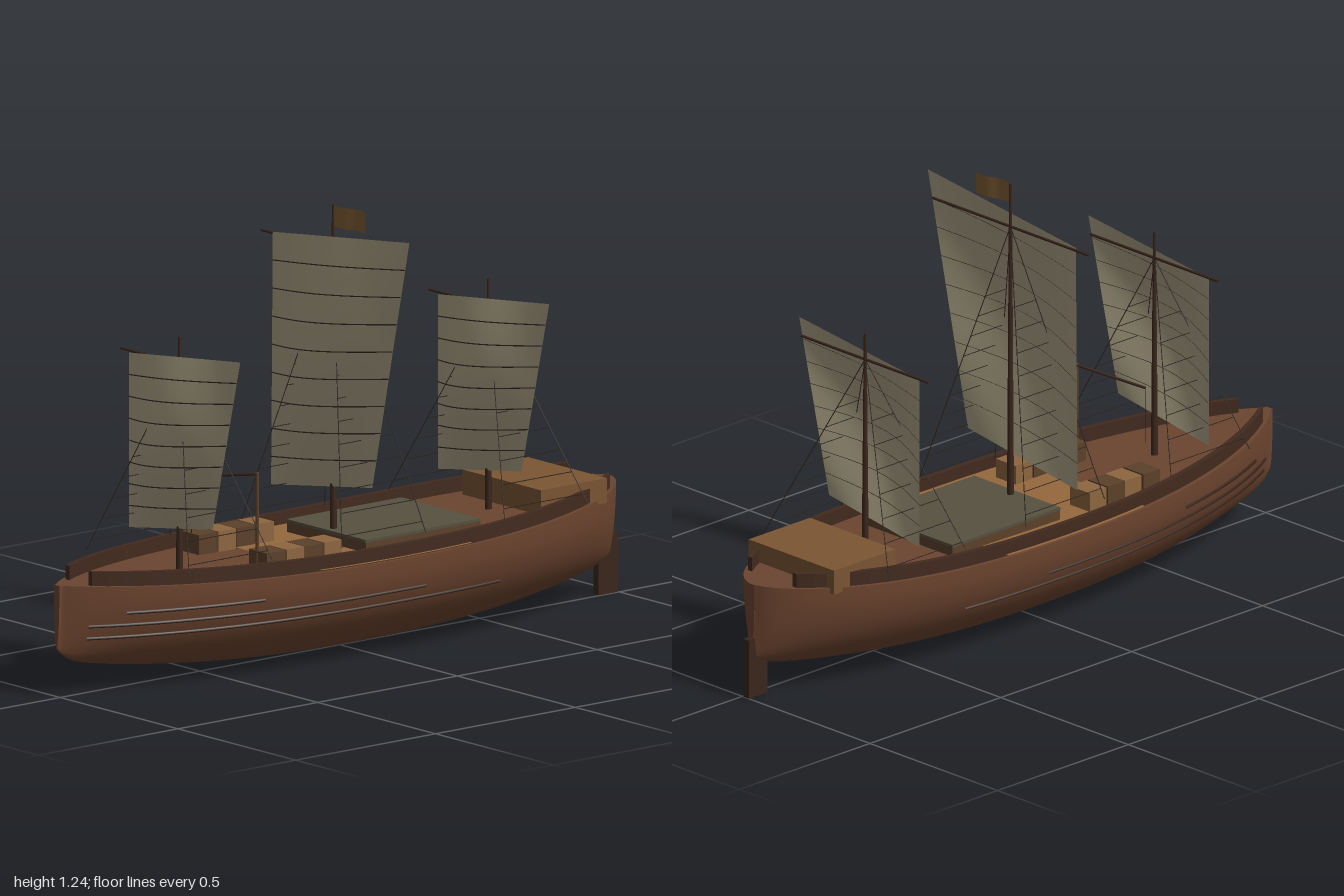
import * as THREE from 'three';

const mat = (color, extra = {}) => Object.assign(new THREE.MeshStandardMaterial({ color }), extra);
const double = { side: THREE.DoubleSide };
const M = {
  hull: mat(0x6f4630), deck: mat(0x6b4530), plank: mat(0x94683c), dark: mat(0x3a261b),
  rail: mat(0x422a1e, { side: THREE.DoubleSide, flatShading: true }),
  cabin: mat(0x7a5533), crate: mat(0x8d6640), crateDark: mat(0x5c412a), hatch: mat(0x56513f),
  sail: mat(0xaaa084, double), flag: mat(0x7d5c34, double), rope: mat(0x2b2420),
};

// Hull lines: half width, deck edge height and keel height along z
const halfWidth = (z) => {
  const t = z > -0.08 ? (z + 0.08) / 1.08 : (-0.08 - z) / 0.9;
  const k = Math.max(0, 1 - t ** 2.5);
  return Math.max(0.012, 0.275 * k ** (z > -0.08 ? 0.8 : 0.6));
};
const sheer = (z) => 0.285 + (z > 0 ? 0.027 : 0.045) * z * z;
const keel = (z) => 0.008 + 0.09 * Math.abs(z) ** 2.2 + 0.035 * Math.abs(z) ** 30;
const station = (u) => 0.01 + 0.99 * Math.sin((u - 0.5) * Math.PI);
const hullPoint = (z, v) => {
  const a = v * Math.PI;
  return [halfWidth(z) * Math.cos(a), sheer(z) - (sheer(z) - keel(z)) * Math.sin(a), z];
};

// Surface from a rule fn(u, v) -> [x, y, z]
function grid(nu, nv, fn) {
  const pos = [], index = [];
  for (let i = 0; i <= nu; i++) {
    for (let j = 0; j <= nv; j++) {
      pos.push(...fn(i / nu, j / nv, i, j));
      if (i < nu && j < nv) {
        const a = i * (nv + 1) + j, b = a + nv + 1;
        index.push(a, b, b + 1, a, b + 1, a + 1);
      }
    }
  }
  const g = new THREE.BufferGeometry();
  g.setAttribute('position', new THREE.Float32BufferAttribute(pos, 3));
  g.setIndex(index);
  g.computeVertexNormals();
  return g;
}

function add(parent, name, geometry, material, x = 0, y = 0, z = 0) {
  const m = new THREE.Mesh(geometry, material);
  m.name = name;
  m.position.set(x, y, z);
  parent.add(m);
  return m;
}

const box = (parent, name, material, w, h, d, x, y, z) =>
  add(parent, name, new THREE.BoxGeometry(w, h, d), material, x, y, z);

// Round bar between two points
function bar(parent, name, a, b, r0, r1, material, sides = 8) {
  const p = new THREE.Vector3(...a), q = new THREE.Vector3(...b), d = q.clone().sub(p);
  const m = add(parent, name, new THREE.CylinderGeometry(r1, r0, d.length(), sides), material);
  m.position.copy(p).lerp(q, 0.5);
  m.quaternion.setFromUnitVectors(new THREE.Vector3(0, 1, 0), d.normalize());
}

function buildHull(ship) {
  const hull = new THREE.Group();
  hull.name = 'hull';
  ship.add(hull);
  add(hull, 'hullShell', grid(64, 28, (u, v) => hullPoint(station(u), v)), M.hull);
  for (const end of [0, 1]) {
    add(hull, end ? 'stem' : 'sternEnd', grid(1, 16, (u, v) => {
      const p = hullPoint(station(end), v);
      return u === end ? [p[0], sheer(p[2]), p[2]] : p;
    }), M.hull);
  }
  const deckStrip = (z0, z1, inset, lift) => grid(48, 1, (u, v) => {
    const z = z0 + (z1 - z0) * u;
    return [(halfWidth(z) - inset) * (2 * v - 1), sheer(z) + lift, z];
  });
  add(hull, 'deck', grid(64, 1, (u, v) => {
    const z = station(u);
    return [halfWidth(z) * (2 * v - 1), sheer(z), z];
  }), M.deck);
  add(hull, 'midDeck', deckStrip(-0.26, 0.27, 0.002, 0.005), M.plank);
  box(hull, 'keel', M.dark, 0.014, 0.02, 0.5, 0, 0.016, 0);
  box(hull, 'rudder', M.dark, 0.022, 0.17, 0.07, 0, 0.085, -0.965);

  for (const s of [-1, 1]) {
    // Bulwark rail with collapsed rows closing its ends
    const corners = [[-1, -0.01], [1, -0.01], [1, 0.04], [-1, 0.04], [-1, -0.01]];
    add(hull, 'bulwark', grid(50, 4, (u, v, i, j) => {
      const t = Math.min(Math.max((i - 1) / 48, 0), 1), z = -0.9 + 1.82 * t;
      const k = i === 0 || i === 50 ? 0 : 1;
      return [s * (halfWidth(z) - 0.02 + corners[j][0] * 0.008 * k),
        sheer(z) + (k ? corners[j][1] : 0.015), z];
    }), M.rail);
    // Wales along the hull side
    for (const [y, z0, z1] of [[0.16, 0.93, -0.39], [0.195, 0.93, -0.1], [0.23, 0.84, 0.45]]) {
      const pts = [];
      for (let i = 0; i <= 16; i++) {
        const z = z0 + (z1 - z0) * i / 16, k = (sheer(z) - y) / (sheer(z) - keel(z));
        pts.push(new THREE.Vector3(s * halfWidth(z) * Math.sqrt(Math.max(0, 1 - k * k)), y, z));
      }
      add(hull, 'wale', new THREE.TubeGeometry(new THREE.CatmullRomCurve3(pts), 40, 0.005, 6), M.dark);
    }
  }
}

function buildDeckGear(ship) {
  box(ship, 'hatchCoaming', M.crateDark, 0.335, 0.04, 0.41, 0, 0.3, -0.17);
  box(ship, 'hatchCover', M.hatch, 0.337, 0.008, 0.412, 0, 0.322, -0.17);
  box(ship, 'sternCabin', M.cabin, 0.335, 0.07, 0.235, 0, 0.337, -0.71);
  for (const x of [-0.145, 0.145]) {
    [0.165, 0.235, 0.3, 0.37].forEach((z, i) =>
      box(ship, 'crate', i % 2 ? M.crateDark : M.crate, 0.078, 0.058, 0.063, x, 0.316, z));
  }
  // Loading crane
  const crane = new THREE.Group();
  crane.name = 'crane';
  ship.add(crane);
  bar(crane, 'cranePost', [0.14, 0.285, 0.4], [0.14, 0.565, 0.4], 0.005, 0.005, M.crateDark);
  bar(crane, 'craneArm', [0.14, 0.56, 0.4], [-0.06, 0.53, 0.467], 0.004, 0.004, M.dark);
  bar(crane, 'craneRope', [-0.06, 0.53, 0.467], [-0.06, 0.37, 0.467], 0.0012, 0.0012, M.rope, 4);
}

// Mast with yard, slanted bulging sail and shrouds; corners are TL, TR, BL, BR
function buildMast(ship, name, z, top, yardY, yardHalf, corners, panels) {
  const mast = new THREE.Group();
  mast.name = name;
  mast.position.z = z;
  ship.add(mast);
  bar(mast, 'mast', [0, 0.28, 0], [0, top, 0], 0.01, 0.004, M.dark, 10);
  bar(mast, 'yard', [-yardHalf, yardY, 0], [yardHalf, yardY, 0], 0.004, 0.004, M.dark);

  const [tl, tr, bl, br] = corners;
  const mix = THREE.MathUtils.lerp;
  const sailPoint = (u, v, lift = 0) => [
    mix(mix(bl[0], br[0], u), mix(tl[0], tr[0], u), v),
    mix(mix(bl[1], br[1], u), mix(tl[1], tr[1], u), v),
    0.006 + lift + 0.06 * Math.sin(Math.PI * u) * Math.sin(Math.PI * v)];
  add(mast, 'sail', grid(20, 24, (u, v) => sailPoint(u, v)), M.sail);
  for (let i = 1; i < panels; i++) {
    const pts = [];
    for (let k = 0; k <= 8; k++) pts.push(new THREE.Vector3(...sailPoint(k / 8, i / panels, 0.001)));
    add(mast, 'batten', new THREE.TubeGeometry(new THREE.CatmullRomCurve3(pts), 20, 0.0016, 4), M.rope);
  }

  // Shrouds and ratlines
  const foot = halfWidth(z) - (Math.abs(z) < 0.1 ? 0.06 : -0.005);
  const reach = 0.15, base = 0.33, apex = yardY;
  for (const s of [-1, 1]) {
    for (const e of [-1, 1]) {
      bar(mast, 'shroud', [s * foot, base, e * reach], [0, apex, 0], 0.0016, 0.0016, M.rope, 4);
    }
    for (let y = base + 0.03; y < base + (apex - base) * 0.75; y += 0.06) {
      const k = 1 - (y - base) / (apex - base);
      bar(mast, 'ratline', [s * foot * k, y, -reach * k], [s * foot * k, y, reach * k], 0.0012, 0.0012, M.rope, 4);
    }
  }
}

export function createModel() {
  const model = new THREE.Group();
  model.name = 'sailingShip';
  const ship = new THREE.Group();
  ship.name = 'ship';
  ship.position.x = -0.015;
  model.add(ship);

  buildHull(ship);
  buildDeckGear(ship);
  const small = [[-0.207, 0.865], [0.265, 0.92], [-0.207, 0.375], [0.148, 0.43]];
  const large = [[-0.25, 1.115], [0.33, 1.185], [-0.257, 0.405], [0.173, 0.47]];
  buildMast(ship, 'foremast', 0.56, 0.945, 0.87, 0.25, small, 8);
  buildMast(ship, 'mainmast', 0.01, 1.235, 1.11, 0.305, large, 9);
  buildMast(ship, 'mizzenmast', -0.545, 0.945, 0.87, 0.25, small, 8);
  add(ship, 'flag', grid(12, 1, (u, v) =>
    [0.135 * u, 1.175 + 0.06 * v, 0.01 + 0.008 * Math.sin(u * Math.PI * 2)]), M.flag);
  return model;
}
